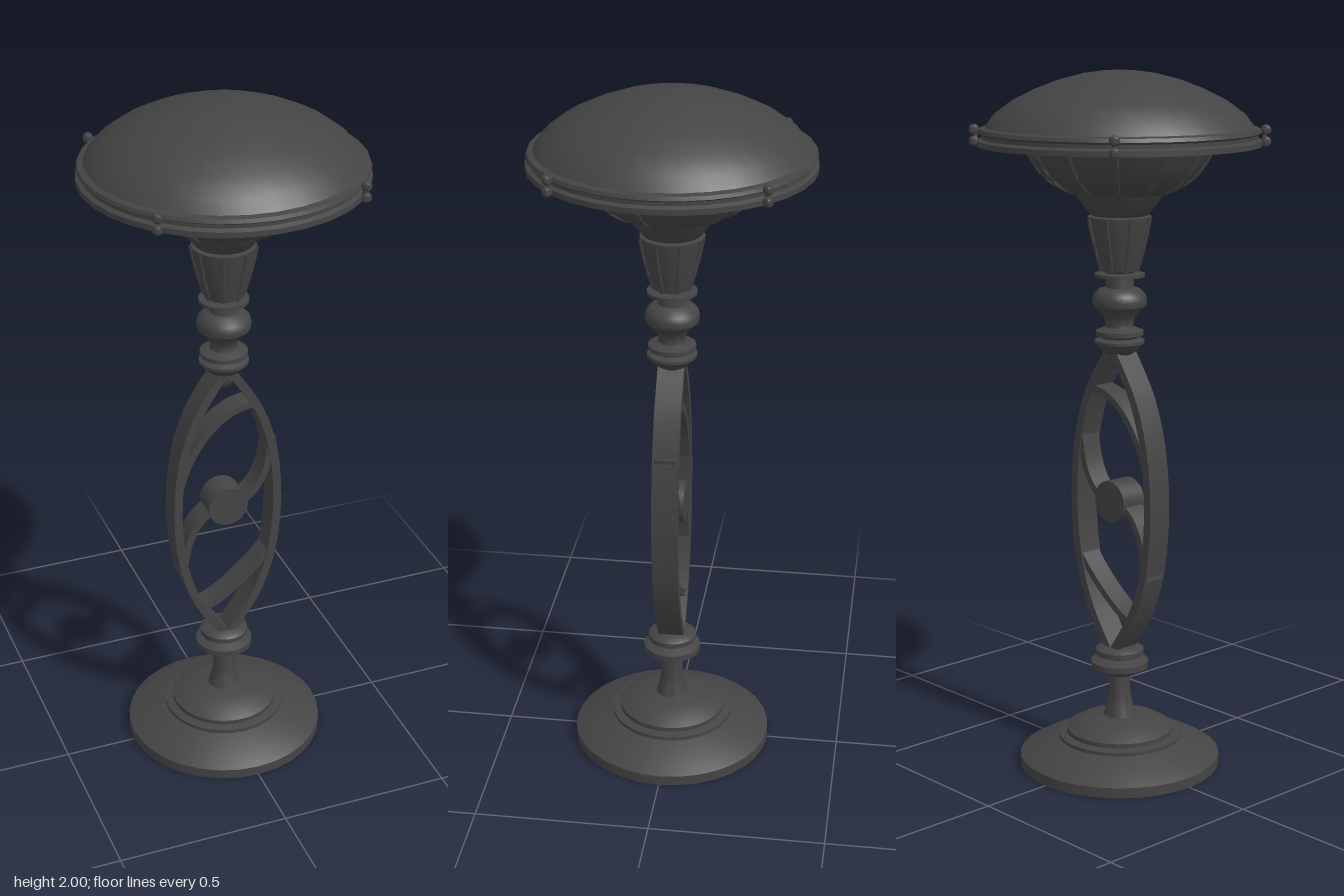
import * as THREE from 'three';
import { toCreasedNormals } from 'three/addons/utils/BufferGeometryUtils.js';

const material = new THREE.MeshStandardMaterial({ color: 0x444444 });

export function createModel() {
  const model = new THREE.Group();

  function add(name, geometry, crease = 0.6, parent = model) {
    const mesh = new THREE.Mesh(toCreasedNormals(geometry, crease), material);
    mesh.name = name;
    parent.add(mesh);
    return mesh;
  }
  // Turned part from [radius, height] pairs, listed along the outside
  function turned(name, profile, sides = 32) {
    const points = profile.map(([r, y]) => new THREE.Vector2(r, y));
    return add(name, new THREE.LatheGeometry(points, sides));
  }
  // Flat iron strip following a curve in the xy plane
  function strip(name, points, thickness, depth) {
    const curve = new THREE.CatmullRomCurve3(points.map(([x, y]) => new THREE.Vector3(x, y, 0)));
    const left = [], right = [];
    for (let i = 0; i <= 24; i++) {
      const p = curve.getPoint(i / 24), t = curve.getTangent(i / 24);
      const nx = -t.y * thickness / 2, ny = t.x * thickness / 2;
      left.push(new THREE.Vector2(p.x + nx, p.y + ny));
      right.unshift(new THREE.Vector2(p.x - nx, p.y - ny));
    }
    const geometry = new THREE.ExtrudeGeometry(new THREE.Shape([...left, ...right]),
      { depth, bevelEnabled: false });
    geometry.translate(0, 0, -depth / 2);
    return add(name, geometry);
  }
  // Raised ribs running up a turned surface
  function ribs(name, path, count, radius) {
    const group = new THREE.Group();
    group.name = name;
    for (let i = 0; i < count; i++) {
      const curve = new THREE.CatmullRomCurve3(path.map(([r, y]) => new THREE.Vector3(r, y, 0)));
      add('rib', new THREE.TubeGeometry(curve, 8, radius, 6), 1.2, group)
        .rotation.y = (i + 0.5) / count * Math.PI * 2;
    }
    model.add(group);
  }

  // Stepped foot with a slim neck
  turned('base', [[0, 0], [0.29, 0], [0.29, 0.03], [0.24, 0.058], [0.178, 0.08], [0.178, 0.09],
    [0.155, 0.095], [0.155, 0.108], [0.12, 0.128], [0.085, 0.138], [0.047, 0.145], [0.038, 0.175],
    [0.031, 0.21], [0.03, 0.275]]);
  turned('lowerCollar', [[0.03, 0.27], [0.055, 0.275], [0.083, 0.292], [0.083, 0.31], [0.05, 0.322],
    [0.07, 0.33], [0.07, 0.345], [0.055, 0.355], [0, 0.355]]);

  // Open cage of two bowed flat bars
  for (const s of [1, -1]) {
    strip('cageBar', [[0.008, 0.345], [0.05, 0.405], [0.094, 0.48], [0.135, 0.605], [0.152, 0.785],
      [0.135, 0.965], [0.094, 1.09], [0.05, 1.165], [0.008, 1.225]].map(([x, y]) => [s * x, y]),
      0.025, 0.074);
  }
  // Scrolls, repeated by a half turn about the cage centre
  for (const s of [1, -1]) {
    const turn = ([x, y]) => [s * x, 0.785 + s * (y - 0.785)];
    strip('centreScroll', [[0.045, 0.79], [0.085, 0.825], [0.115, 0.88], [0.13, 0.95],
      [0.137, 0.99]].map(turn), 0.02, 0.064);
  }
  strip('upperScroll', [[-0.148, 0.86], [-0.115, 0.95], [-0.06, 1.035], [0.01, 1.09], [0.09, 1.112]],
    0.02, 0.064);
  strip('lowerScroll', [[-0.085, 0.44], [-0.03, 0.465], [0.03, 0.507], [0.09, 0.56], [0.14, 0.615]],
    0.02, 0.064);
  const boss = new THREE.CylinderGeometry(0.06, 0.06, 0.08, 24);
  boss.rotateX(Math.PI / 2).translate(0, 0.79, 0);
  add('centreBoss', boss);

  // Upper collar, knop and thin ring
  turned('upperCollar', [[0, 1.168], [0.02, 1.173], [0.03, 1.19], [0.032, 1.212], [0.048, 1.222],
    [0.07, 1.245], [0.07, 1.253], [0.052, 1.26], [0.067, 1.268], [0.067, 1.28], [0.04, 1.29],
    [0.038, 1.3], [0.044, 1.32], [0.058, 1.335], [0.074, 1.35], [0.077, 1.365], [0.073, 1.382],
    [0.058, 1.397], [0.04, 1.402], [0.038, 1.43], [0.07, 1.432], [0.07, 1.441], [0.04, 1.443],
    [0.04, 1.46]]);

  // Fluted cup and ribbed bowl
  turned('cup', [[0.04, 1.444], [0.055, 1.45], [0.068, 1.5], [0.084, 1.565], [0.09, 1.6],
    [0.07, 1.605]], 16);
  ribs('cupRibs', [[0.052, 1.45], [0.067, 1.5], [0.083, 1.565], [0.089, 1.598]], 8, 0.007);
  turned('bowl', [[0.065, 1.598], [0.08, 1.605], [0.105, 1.635], [0.125, 1.667], [0.14, 1.667],
    [0.175, 1.685], [0.208, 1.71], [0.238, 1.748], [0.262, 1.797]]);
  ribs('bowlRibs', [[0.14, 1.668], [0.175, 1.685], [0.208, 1.71], [0.238, 1.748], [0.26, 1.793]],
    12, 0.006);

  // Domed shade with a grooved rim
  turned('shade', [[0.25, 1.795], [0.392, 1.795], [0.392, 1.81], [0.38, 1.816], [0.38, 1.826],
    [0.39, 1.832], [0.386, 1.842], [0.37, 1.846], [0.345, 1.88], [0.295, 1.917], [0.235, 1.947],
    [0.17, 1.972], [0.1, 1.99], [0.05, 1.997], [0, 2]]);

  // Paired rim studs on four sides
  for (let i = 0; i < 4; i++) {
    const clip = new THREE.Group();
    clip.name = 'rimClip';
    for (const y of [1.806, 1.838]) {
      add('stud', new THREE.SphereGeometry(0.015, 8, 6), 1.2, clip).position.set(0.401, y, 0);
    }
    add('clipPin', new THREE.CylinderGeometry(0.007, 0.007, 0.04, 6), 1.2, clip)
      .position.set(0.397, 1.822, 0);
    clip.rotation.y = Math.PI / 4 + i * Math.PI / 2;
    model.add(clip);
  }
  return model;
}
